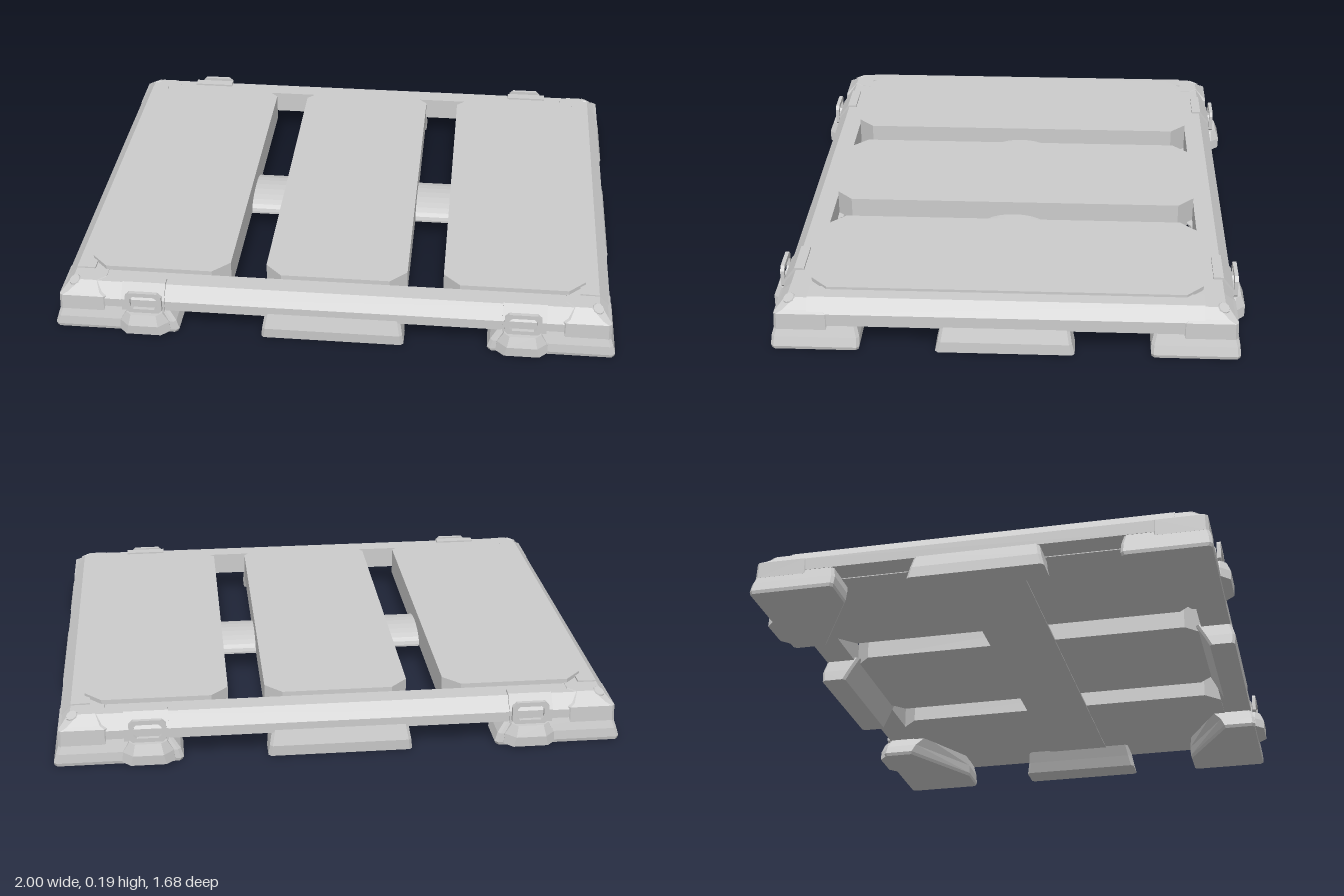
import * as THREE from 'three';

const material = new THREE.MeshStandardMaterial({ color: 0xcccccc, flatShading: true });

// Ring of a rectangle with cut corners; cuts: +x+z, +x-z, -x+z and the inner [x, z] cut at -x-z
function ring([y, x0, x1, z0, z1, cut, inner = [cut, cut]]) {
  const [ix, iz] = inner;
  return [
    [x0, z1 - cut], [x0 + cut, z1], [x1 - cut, z1], [x1, z1 - cut],
    [x1, z0 + cut], [x1 - cut, z0], [x0 + ix, z0], [x0, z0 + iz],
  ].map(([x, z]) => [x, y, z]);
}

// Solid lofted through layers listed from bottom to top
function loft(layers) {
  const rings = layers.map(ring), v = [];
  const tri = (...p) => p.forEach((q) => v.push(...q));
  const bottom = rings[0], top = rings[rings.length - 1];
  for (let i = 1; i < 7; i++) {
    tri(bottom[0], bottom[i + 1], bottom[i]);
    tri(top[0], top[i], top[i + 1]);
  }
  for (let k = 0; k + 1 < rings.length; k++) {
    for (let i = 0; i < 8; i++) {
      const j = (i + 1) % 8, a = rings[k], b = rings[k + 1];
      tri(a[i], a[j], b[j]);
      tri(a[i], b[j], b[i]);
    }
  }
  const geometry = new THREE.BufferGeometry();
  geometry.setAttribute('position', new THREE.Float32BufferAttribute(v, 3));
  geometry.computeVertexNormals();
  return geometry;
}

// Profile of [outward, y] points, extruded along z and centred
function run(points, length) {
  const shape = new THREE.Shape(points.map(([x, y]) => new THREE.Vector2(x, y)));
  return new THREE.ExtrudeGeometry(shape, { depth: length, bevelEnabled: false })
    .translate(0, 0, -length / 2);
}

// Copy reflected by the signs, with the winding kept outward
function mirrored(source, sx, sz) {
  const g = source.index ? source.toNonIndexed() : source.clone();
  const p = g.attributes.position;
  for (let i = 0; i < p.count; i++) p.setXYZ(i, p.getX(i) * sx, p.getY(i), p.getZ(i) * sz);
  if (sx * sz < 0) {
    for (let i = 0; i < p.count; i += 3) {
      const a = new THREE.Vector3().fromBufferAttribute(p, i + 1);
      const b = new THREE.Vector3().fromBufferAttribute(p, i + 2);
      p.setXYZ(i + 1, b.x, b.y, b.z);
      p.setXYZ(i + 2, a.x, a.y, a.z);
    }
  }
  g.computeVertexNormals();
  return g;
}

export function createModel() {
  const model = new THREE.Group();
  model.name = 'pallet';
  const add = (name, geometry) => {
    const mesh = new THREE.Mesh(geometry, material);
    mesh.name = name;
    model.add(mesh);
  };
  const sides = [[1, 1], [-1, 1], [1, -1], [-1, -1]];
  const alongX = [[1, 1], [-1, 1]], alongZ = [[1, 1], [1, -1]];
  const repeat = (name, geometry, signs) =>
    signs.forEach(([sx, sz]) => add(name, mirrored(geometry, sx, sz)));

  // Deck panels
  add('centrePanel', loft([
    [0.082, -0.255, 0.255, -0.68, 0.68, 0.06],
    [0.187, -0.255, 0.255, -0.68, 0.68, 0.06],
  ]));
  repeat('sidePanel', loft([
    [0.082, 0.385, 0.89, -0.68, 0.68, 0.06],
    [0.187, 0.385, 0.89, -0.68, 0.68, 0.06],
  ]), alongX);

  // Rounded beam under the panels
  const arch = [];
  for (let i = 0; i <= 12; i++) {
    const t = (i / 12) * Math.PI;
    arch.push([0.125 * Math.cos(t), 0.085 + 0.05 * Math.sin(t)]);
  }
  add('crossBeam', run([[-0.125, 0.078], [0.125, 0.078], ...arch], 1.9).rotateY(-Math.PI / 2));

  // Edge rails
  repeat('endRail', run([
    [0.68, 0.085], [0.79, 0.085], [0.79, 0.122], [0.75, 0.17], [0.68, 0.17],
  ], 1.7).rotateY(-Math.PI / 2), alongZ);
  repeat('sideRail', run([
    [0.87, 0.085], [0.978, 0.085], [0.978, 0.13], [0.937, 0.176], [0.87, 0.178],
  ], 1.36), alongX);

  // Corner blocks with a low tilted stud
  repeat('cornerBlock', loft([
    [0.07, 0.81, 0.982, 0.605, 0.795, 0.01, [0.06, 0.06]],
    [0.13, 0.81, 0.98, 0.605, 0.793, 0.01, [0.06, 0.06]],
    [0.14, 0.815, 0.968, 0.61, 0.782, 0.02, [0.06, 0.06]],
    [0.172, 0.82, 0.937, 0.62, 0.75, 0.03, [0.06, 0.06]],
  ]), sides);
  const stud = new THREE.CylinderGeometry(0.02, 0.036, 0.04, 10)
    .rotateZ(-0.5).rotateY(-Math.PI / 4).translate(0.925, 0.15, 0.738);
  repeat('cornerStud', stud, sides);

  // Flared corner feet, cut back diagonally on the inside
  repeat('cornerFoot', loft([
    [0, 0.556, 0.997, 0.503, 0.803, 0.01, [0.31, 0.18]],
    [0.012, 0.55, 1, 0.5, 0.806, 0.01, [0.31, 0.18]],
    [0.045, 0.56, 0.99, 0.5, 0.803, 0.01, [0.29, 0.165]],
    [0.09, 0.59, 0.975, 0.51, 0.79, 0.01, [0.23, 0.12]],
  ]), sides);

  // Middle feet, sloping inwards underneath
  repeat('endFoot', loft([
    [0, -0.255, 0.255, 0.71, 0.803, 0.01],
    [0.04, -0.25, 0.25, 0.69, 0.806, 0.01],
    [0.095, -0.24, 0.24, 0.66, 0.79, 0.01],
  ]), alongZ);
  repeat('sideFoot', loft([
    [0, 0.89, 0.997, -0.24, 0.24, 0.01],
    [0.04, 0.87, 0.995, -0.23, 0.23, 0.01],
    [0.095, 0.84, 0.976, -0.22, 0.22, 0.01],
  ]), alongX);

  // Lashing points: clamp over the rail, base and upright ring
  const cx = 0.672;
  repeat('lashingClamp', run([
    [0.72, 0.16], [0.78, 0.08], [0.794, 0.08], [0.794, 0.126], [0.755, 0.177], [0.72, 0.177],
  ], 0.155).rotateY(-Math.PI / 2).translate(cx + 0.005, 0, 0), sides);
  repeat('lashingBase', loft([
    [0.008, cx - 0.092, cx + 0.092, 0.74, 0.838, 0.03],
    [0.045, cx - 0.088, cx + 0.088, 0.74, 0.84, 0.035],
    [0.083, cx - 0.065, cx + 0.065, 0.74, 0.825, 0.02],
  ]), sides);

  const outline = (w, y0, y1, c) => [
    [-w, y0 + c], [-w + c, y0], [w - c, y0], [w, y0 + c],
    [w, y1 - c], [w - c, y1], [-w + c, y1], [-w, y1 - c],
  ].map(([x, y]) => new THREE.Vector2(x, y));
  const ringShape = new THREE.Shape(outline(0.065, 0.08, 0.166, 0.015));
  ringShape.holes.push(new THREE.Path(outline(0.048, 0.098, 0.15, 0.01).reverse()));
  const ringGeometry = new THREE.ExtrudeGeometry(ringShape, { depth: 0.014, bevelEnabled: false })
    .translate(cx, 0, 0.796);
  repeat('lashingRing', ringGeometry, sides);

  return model;
}
